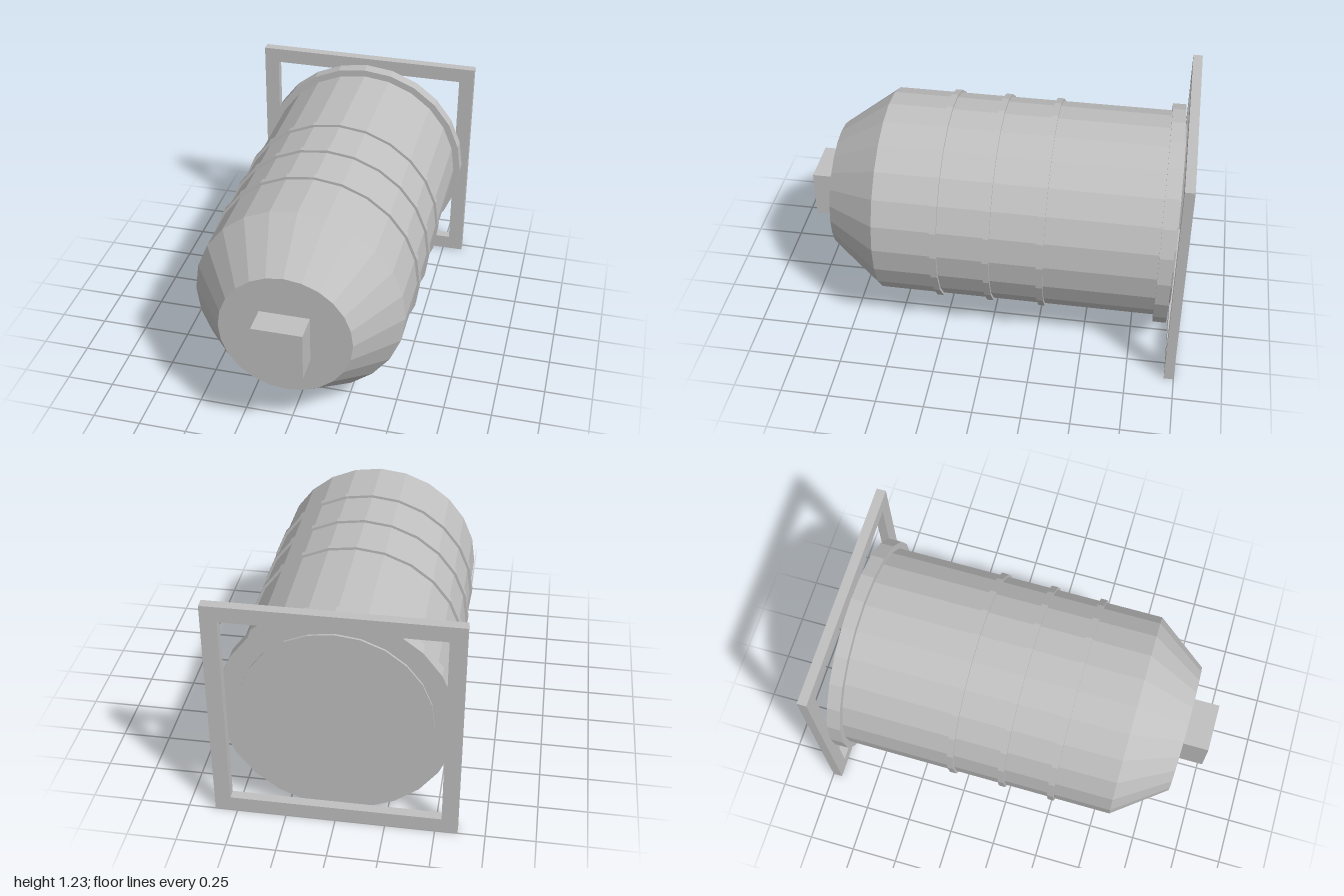
import * as THREE from 'three';

const SIDES = 24;
const AXIS_Y = 0.615;

export function createModel() {
  const model = new THREE.Group();
  model.name = 'barrelUnit';
  const grey = new THREE.MeshStandardMaterial({ color: 0xc0c0c0 });
  grey.name = 'grey';
  grey.flatShading = true;

  const add = (name, geometry, z = 0) => {
    const mesh = new THREE.Mesh(geometry, grey);
    mesh.name = name;
    mesh.position.set(0, AXIS_Y, z);
    model.add(mesh);
  };

  // Faceted drum section lying along z, from zBack to zFront
  const drum = (name, zBack, zFront, rBack, rFront = rBack) => {
    const geometry = new THREE.CylinderGeometry(rFront, rBack, zFront - zBack, SIDES);
    geometry.rotateX(Math.PI / 2);
    add(name, geometry, (zBack + zFront) / 2);
  };

  // Body, tapered nose and rear flange
  drum('body', -0.87, 0.59, 0.543);
  drum('nose', 0.59, 0.86, 0.543, 0.34);
  drum('rearFlange', -0.935, -0.865, 0.58);
  drum('rearDisc', -0.946, -0.93, 0.476);

  // Thin raised bands around the body
  [0.27, 0, -0.275].forEach((z, i) => drum(`band${i + 1}`, z - 0.017, z + 0.017, 0.557));

  // Square knob on the nose
  add('knob', new THREE.BoxGeometry(0.255, 0.255, 0.15), 0.925);

  // Square mounting frame at the back
  const square = (target, h) => {
    target.moveTo(-h, -h);
    target.lineTo(h, -h);
    target.lineTo(h, h);
    target.lineTo(-h, h);
    target.closePath();
    return target;
  };
  const outline = square(new THREE.Shape(), 0.613);
  outline.holes.push(square(new THREE.Path(), 0.532));
  add('mountingFrame', new THREE.ExtrudeGeometry(outline, { depth: 0.05, bevelEnabled: false }), -1);
  model.getObjectByName('mountingFrame').position.y = 0.613;

  return model;
}
